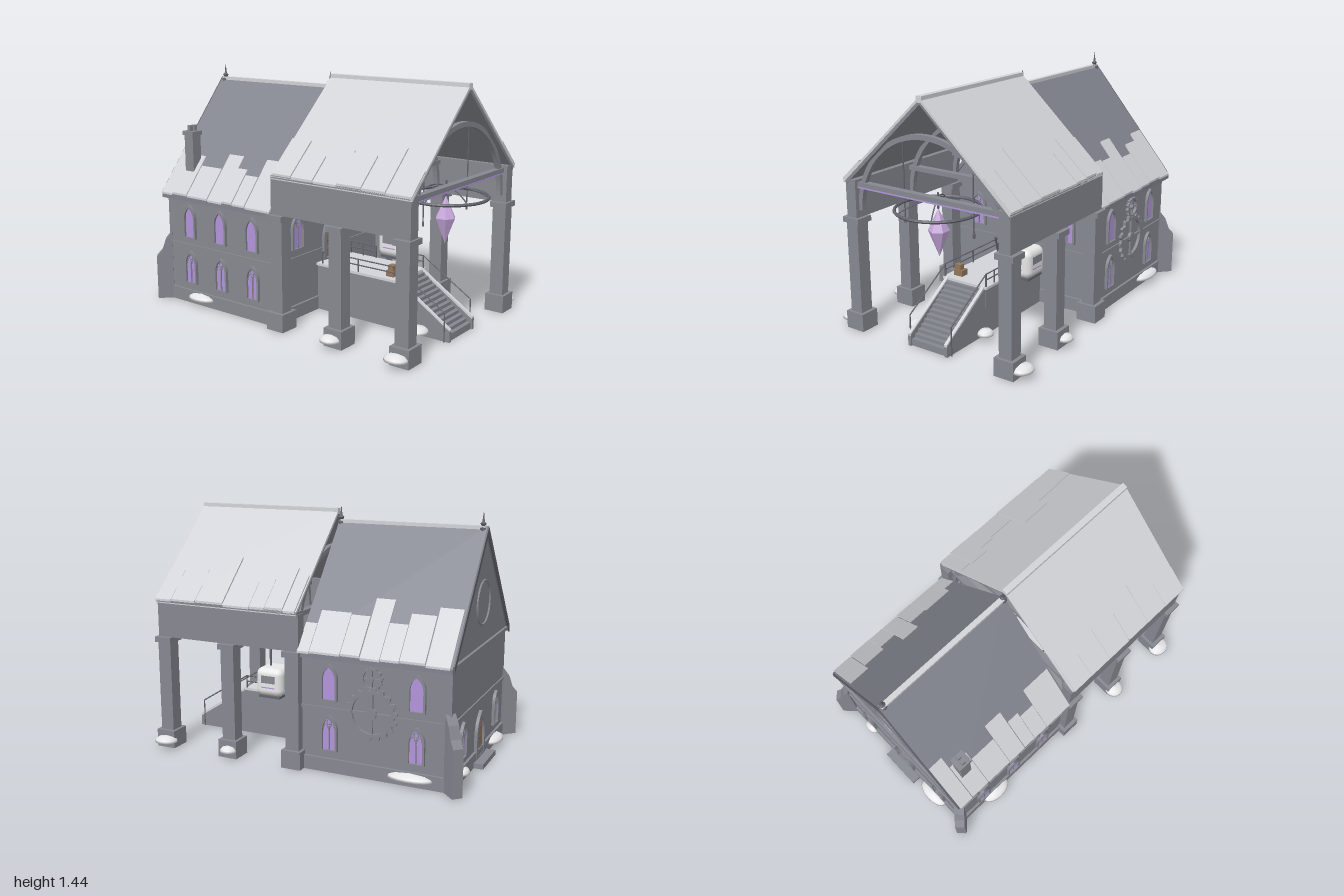
import * as THREE from 'three';
import { RoundedBoxGeometry } from 'three/addons/geometries/RoundedBoxGeometry.js';

export function createModel() {
  const root = new THREE.Group();
  root.name = 'hall';
  const mat = (name, color, flat = true) => {
    const m = new THREE.MeshStandardMaterial({ color, flatShading: flat });
    m.name = name;
    return m;
  };
  const stone = mat('stone', 0x868890), darkRoof = mat('darkRoof', 0x82848f), pale = mat('paleSlate', 0xd2d3d8);
  const metal = mat('darkMetal', 0x62646c), snow = mat('snow', 0xececee, false), white = mat('cabinWhite', 0xececec, false);
  const glass = mat('violetGlass', 0xb294dc), crystal = mat('crystal', 0xc8a8dc), wood = mat('wood', 0x94765a);

  const add = (name, geo, m, x = 0, y = 0, z = 0, parent = root) => {
    const mesh = new THREE.Mesh(geo, m);
    mesh.name = name;
    mesh.position.set(x, y, z);
    parent.add(mesh);
    return mesh;
  };
  // box given by its limits
  const box = (name, m, x0, x1, y0, y1, z0, z1, parent) =>
    add(name, new THREE.BoxGeometry(x1 - x0, y1 - y0, z1 - z0), m, (x0 + x1) / 2, (y0 + y1) / 2, (z0 + z1) / 2, parent);
  const poly = pts => new THREE.Shape(pts.map(p => new THREE.Vector2(...p)));
  const prism = (shape, depth, curveSegments = 8) => new THREE.ExtrudeGeometry(shape, { depth, bevelEnabled: false, curveSegments });
  // rod between two points
  const rod = (name, a, b, r, m = metal, parent = root) => {
    const p = new THREE.Vector3(...a), q = new THREE.Vector3(...b), d = q.clone().sub(p);
    const mesh = add(name, new THREE.CylinderGeometry(r, r, d.length(), 6), m, 0, 0, 0, parent);
    mesh.position.copy(p).add(q).multiplyScalar(0.5);
    mesh.quaternion.setFromUnitVectors(new THREE.Vector3(0, 1, 0), d.normalize());
    return mesh;
  };

  // House walls, plinth and string courses
  const gableY = 1.355, gableSlope = 1.2;
  add('houseWalls', prism(poly([[-0.52, 0], [0.52, 0], [0.52, 0.7], [0, 1.32], [-0.52, 0.7]]), 0.87), stone, 0, 0, -0.92);
  box('plinth', stone, -0.535, 0.535, 0, 0.08, -0.935, -0.035);
  box('middleCourse', stone, -0.528, 0.528, 0.362, 0.375, -0.928, -0.042);
  box('eavesCourse', stone, -0.545, 0.545, 0.67, 0.69, -0.935, -0.035);

  // Roofs: sloped strips that follow the pitch
  const strip = (name, m, x0, x1, z0, z1, ridge, slope, thick, lift) => {
    const y = x => ridge - slope * Math.abs(x) + lift;
    add(name, prism(poly([[x0, y(x0) - thick], [x1, y(x1) - thick], [x1, y(x1)], [x0, y(x0)]]), z1 - z0), m, 0, 0, z0);
  };
  const canopyY = 1.415, canopySlope = 0.925;
  for (const s of [-1, 1]) {
    strip('houseRoof', darkRoof, 0, s * 0.56, -0.93, -0.04, gableY, gableSlope, 0.03, 0);
    strip('houseVerge', metal, 0, s * 0.55, -0.938, -0.93, gableY, gableSlope, 0.045, 0);
    strip('canopyRoof', pale, 0, s * 0.56, -0.035, 0.89, canopyY, canopySlope, 0.018, 0);
    strip('canopyRafters', stone, 0, s * 0.55, -0.03, 0.885, canopyY, canopySlope, 0.022, -0.018);
  }
  // Slate patches along the eaves: [z edge, inner x], running backwards
  const patches = (side, end, rows, ridge, slope) => rows.forEach(([z, x], i) => {
    const z0 = i + 1 < rows.length ? rows[i + 1][0] : end;
    strip('slatePatch', pale, side * x, side * 0.565, z0 + 0.002, z - 0.002, ridge, slope, 0.012, 0.012 + 0.005 * (i % 3));
  });
  patches(1, -0.92, [[-0.04, 0.45], [-0.115, 0.4], [-0.3, 0.41], [-0.415, 0.33], [-0.53, 0.425], [-0.64, 0.385], [-0.785, 0.345]], gableY, gableSlope);
  patches(-1, -0.93, [[-0.05, 0.36], [-0.24, 0.44], [-0.34, 0.42], [-0.42, 0.36], [-0.54, 0.43], [-0.71, 0.39], [-0.835, 0.33]], gableY, gableSlope);
  patches(1, -0.03, [[0.89, 0.4], [0.78, 0.39], [0.615, 0.32], [0.43, 0.43], [0.26, 0.41], [0.16, 0.355], [0.045, 0.375]], canopyY, canopySlope);
  patches(-1, -0.03, [[0.89, 0.44], [0.73, 0.35], [0.58, 0.41], [0.42, 0.39], [0.26, 0.44], [0.11, 0.38]], canopyY, canopySlope);
  box('houseRidge', pale, -0.015, 0.015, 1.33, 1.357, -0.92, -0.05);
  box('canopyRidge', pale, -0.018, 0.018, 1.385, 1.42, -0.035, 0.89);
  const finial = [[0, 0], [0.022, 0], [0.022, 0.02], [0.01, 0.03], [0.018, 0.045], [0.007, 0.055], [0, 0.115]].map(p => new THREE.Vector2(...p));
  for (const z of [-0.05, -0.905]) add('finial', new THREE.LatheGeometry(finial, 8), metal, 0, 1.325, z);

  // Chimney with two pots
  box('chimney', stone, -0.465, -0.4, 0.75, 1.04, -0.815, -0.745);
  box('chimneyCap', stone, -0.473, -0.392, 1.04, 1.065, -0.823, -0.737);
  for (const x of [-0.45, -0.415]) box('chimneyPot', stone, x - 0.011, x + 0.011, 1.065, 1.1, -0.792, -0.768);

  // Canopy piers and side beams
  for (const s of [-1, 1]) {
    for (const z of [0.84, 0.41, -0.005]) {
      const pier = new THREE.Group();
      pier.name = 'pier';
      pier.position.set(s * 0.522, 0, z);
      root.add(pier);
      box('pierBase', stone, -0.062, 0.062, 0, 0.105, -0.06, 0.06, pier);
      box('pierShaft', stone, -0.04, 0.04, 0.105, 0.645, -0.042, 0.042, pier);
      box('pierCap', stone, -0.058, 0.058, 0.645, 0.677, -0.053, 0.053, pier);
    }
    const a = s * 0.52;
    box('sideBeam', stone, a - 0.035, a + 0.035, 0.677, 0.885, -0.045, 0.88);
    box('sideBeamTrim', stone, a - 0.04, a + 0.04, 0.885, 0.9, -0.04, 0.885);
  }
  // Arched trusses and tie beams
  const arch = new THREE.Shape();
  arch.absarc(0, 0, 0.49, 0, Math.PI, false);
  arch.absarc(0, 0, 0.462, Math.PI, 0, true);
  for (const z of [0.84, 0.41, 0]) {
    add('archTruss', prism(arch, 0.03, 24), stone, 0, 0.72, z - 0.015);
    box('tieBeam', stone, -0.49, 0.49, 0.858, 0.885, z - 0.02, z + 0.02);
  }
  box('tieBeamLight', glass, -0.485, 0.485, 0.85, 0.858, 0.825, 0.862);

  // Pointed windows and doors, facing +z in their own group
  const lancet = (w, h, rise, x = 0, y = 0, T = THREE.Shape) => {
    const s = new T();
    s.moveTo(x - w / 2, y);
    s.lineTo(x + w / 2, y);
    s.lineTo(x + w / 2, y + h - rise);
    s.quadraticCurveTo(x + w / 2, y + h - rise * 0.35, x, y + h);
    s.quadraticCurveTo(x - w / 2, y + h - rise * 0.35, x - w / 2, y + h - rise);
    return s;
  };
  const opening = (name, w, h, t, fill, x, y, z, turn, tracery) => {
    const g = new THREE.Group();
    g.name = name;
    g.position.set(x, y, z);
    g.rotation.y = turn;
    root.add(g);
    const frame = lancet(w, h, w * 0.85);
    frame.holes.push(lancet(w - 2 * t, h - 2 * t, w * 0.75, 0, t * 0.5, THREE.Path));
    add('frame', prism(frame, 0.018), stone, 0, 0, 0, g);
    add('panel', prism(lancet(w - t, h - t, w * 0.8), 0.005), fill, 0, 0, 0, g);
    if (tracery) {
      box('mullion', stone, -0.003, 0.003, 0, h * 0.68, 0.003, 0.012, g);
      for (const s of [-1, 1]) {
        const curve = new THREE.QuadraticBezierCurve3(new THREE.Vector3(0, h * 0.55, 0.008),
          new THREE.Vector3(s * w * 0.2, h * 0.95, 0.008), new THREE.Vector3(s * w * 0.38, h * 0.55, 0.008));
        add('lightHead', new THREE.TubeGeometry(curve, 8, 0.003, 5), stone, 0, 0, 0, g);
      }
      add('roundel', new THREE.TorusGeometry(w * 0.14, 0.003, 5, 14), stone, 0, h * 0.8, 0.008, g);
    }
    return g;
  };
  const door = (y, z, turn) => {
    const g = opening('door', 0.17, 0.275, 0.024, wood, 0, y, z, turn, false);
    for (const h of [0.05, 0.11, 0.17]) box('strap', metal, -0.055, 0.045, h, h + 0.007, 0.004, 0.009, g);
  };
  door(0.293, -0.05, 0);
  door(0.03, -0.92, Math.PI);
  for (const s of [-1, 1]) {
    opening('frontWindow', 0.11, 0.215, 0.012, glass, s * 0.325, 0.42, -0.05, 0, true);
    opening('backWindow', 0.1, 0.21, 0.012, glass, s * 0.325, 0.125, -0.92, Math.PI, true);
    for (const z of s > 0 ? [-0.22, -0.73] : [-0.22, -0.475, -0.73]) {
      opening('upperWindow', 0.1, 0.21, 0.012, glass, s * 0.52, 0.415, z, s * Math.PI / 2, false);
      opening('lowerWindow', 0.1, 0.21, 0.012, glass, s * 0.52, 0.125, z, s * Math.PI / 2, true);
    }
  }
  box('backStep', stone, -0.13, 0.13, 0, 0.03, -0.99, -0.92);
  add('gableRing', new THREE.TorusGeometry(0.125, 0.008, 6, 32), stone, 0, 0.93, -0.922);

  // Gears on the left wall
  const gear = (r, teeth, y, z) => {
    const g = new THREE.Group();
    g.name = 'gear';
    g.position.set(0.522, y, z);
    g.rotation.y = Math.PI / 2;
    root.add(g);
    const pts = [];
    for (let i = 0; i < teeth * 4; i++) {
      const a = (i + 0.5) / (teeth * 4) * Math.PI * 2, q = i % 4 < 2 ? r : r * 0.88;
      pts.push([Math.cos(a) * q, Math.sin(a) * q]);
    }
    const rim = poly(pts);
    rim.holes.push(new THREE.Path().absarc(0, 0, r * 0.76, 0, Math.PI * 2, true));
    add('gearRim', prism(rim, 0.018, 16), stone, 0, 0, 0, g);
    for (const a of [0, Math.PI / 2]) add('spoke', new THREE.BoxGeometry(r * 1.6, r * 0.09, 0.012), stone, 0, 0, 0.008, g).rotation.z = a;
    add('hub', new THREE.CylinderGeometry(r * 0.2, r * 0.2, 0.02, 12), stone, 0, 0, 0.01, g).rotation.x = Math.PI / 2;
  };
  gear(0.15, 18, 0.375, -0.475);
  gear(0.065, 12, 0.57, -0.475);

  // Diagonal corner buttresses at the back
  for (const s of [-1, 1]) {
    const b = add('buttress', prism(poly([[0, 0], [0.1, 0], [0.1, 0.27], [0.065, 0.31], [0.04, 0.38], [0, 0.43]]), 0.06), stone, s * 0.51, 0, -0.91);
    b.geometry.translate(0, 0, -0.03);
    b.rotation.y = s > 0 ? Math.PI / 4 : Math.PI * 3 / 4;
  }

  // Platform and stairs
  box('platform', stone, -0.14, 0.14, 0, 0.28, -0.04, 0.53);
  box('deck', pale, -0.155, 0.155, 0.28, 0.295, -0.04, 0.54);
  const steps = 13;
  for (let i = 0; i < steps; i++) {
    const z = 0.53 + 0.34 * i / steps;
    box('step', stone, -0.12, 0.12, 0, 0.28 - 0.24 * i / (steps - 1), z, z + 0.34 / steps);
  }
  const side = poly([[-0.53, 0], [-0.53, 0.29], [-0.88, 0.065], [-0.88, 0]]);
  const cap = poly([[-0.53, 0.285], [-0.53, 0.3], [-0.88, 0.075], [-0.88, 0.06]]);
  for (const s of [-1, 1]) {
    const x = s * 0.128 - 0.01;
    add('stringer', prism(side, 0.02), stone, x, 0, 0).rotation.y = Math.PI / 2;
    add('stringerCap', prism(cap, 0.02), pale, x, 0, 0).rotation.y = Math.PI / 2;
    // railings, with a gap beside the cabin
    const r = s * 0.145;
    for (const [z0, z1] of s > 0 ? [[0.53, 0.37], [0.19, 0]] : [[0.53, 0]]) {
      for (const y of [0.335, 0.37]) rod('rail', [r, y, z0], [r, y, z1], 0.004);
      for (let i = 0; i <= 2; i++) {
        const z = z0 + (z1 - z0) * i / 2;
        rod('railPost', [r, 0.295, z], [r, 0.372, z], 0.005);
      }
    }
    rod('handrail', [r, 0.37, 0.53], [r, 0.17, 0.85], 0.004);
    rod('handrailPost', [r, 0, 0.85], [r, 0.17, 0.85], 0.004);
  }
  // Crates and lever
  box('crate', wood, -0.115, -0.055, 0.295, 0.33, 0.44, 0.49);
  box('smallCrate', wood, -0.11, -0.07, 0.33, 0.362, 0.45, 0.485);
  rod('lever', [-0.105, 0.295, 0.06], [-0.09, 0.42, 0.11], 0.006);

  // Hanging cabin
  add('cabin', new RoundedBoxGeometry(0.175, 0.17, 0.175, 4, 0.04), white, 0.237, 0.4, 0.28);
  box('cabinFloor', metal, 0.165, 0.31, 0.303, 0.316, 0.21, 0.35);
  for (const s of [-1, 1]) {
    add('cabinWindow', new THREE.BoxGeometry(0.075, 0.035, 0.005), stone, 0.237, 0.42, 0.28 + s * 0.087);
    add('cabinStripe', new THREE.BoxGeometry(0.08, 0.006, 0.004), glass, 0.237, 0.37, 0.28 + s * 0.087);
    add('cabinWindow', new THREE.BoxGeometry(0.005, 0.045, 0.09), stone, 0.237 + s * 0.087, 0.42, 0.28);
    add('cabinStripe', new THREE.BoxGeometry(0.004, 0.006, 0.09), glass, 0.237 + s * 0.087, 0.37, 0.28);
  }
  rod('cabinPole', [0.237, 0.48, 0.305], [0.237, 0.64, 0.305], 0.008);
  box('cabinHanger', metal, 0.224, 0.25, 0.635, 0.657, 0.265, 0.345);

  // Ring chandelier with crystal
  const lamp = new THREE.Group();
  lamp.name = 'chandelier';
  lamp.position.set(0, 0.79, 0.755);
  root.add(lamp);
  add('ring', new THREE.TorusGeometry(0.235, 0.009, 6, 36), metal, 0, 0, 0, lamp).rotation.x = Math.PI / 2;
  for (let i = 0; i < 6; i++) {
    const a = i * Math.PI / 3, c = Math.cos(a), n = Math.sin(a);
    const curve = new THREE.QuadraticBezierCurve3(new THREE.Vector3(c * 0.23, 0, n * 0.23),
      new THREE.Vector3(c * 0.12, 0.06, n * 0.12), new THREE.Vector3(0, 0.055, 0));
    add('arm', new THREE.TubeGeometry(curve, 8, 0.004, 5), metal, 0, 0, 0, lamp);
  }
  add('hub', new THREE.CylinderGeometry(0.033, 0.033, 0.016, 10), metal, 0, 0.047, 0, lamp);
  rod('stem', [0, 0, 0], [0, 0.09, 0], 0.006, metal, lamp);
  add('crystalTop', new THREE.ConeGeometry(0.06, 0.125, 6, 1, true), crystal, 0, -0.06, 0, lamp);
  add('crystalPoint', new THREE.CylinderGeometry(0.06, 0, 0.15, 6, 1, true), crystal, 0, -0.1975, 0, lamp);
  for (const s of [-1, 1]) {
    rod('chain', [s * 0.237, -0.1, 0], [s * 0.237, 0.37, 0], 0.004, metal, lamp);
    add('weight', new THREE.CylinderGeometry(0.007, 0.007, 0.025, 6), metal, s * 0.237, -0.11, 0, lamp);
  }

  // Snow mounds: [x, z, half width, half depth]
  const mound = new THREE.LatheGeometry([[0, 0], [1, 0], [0.93, 0.4], [0.65, 0.8], [0, 1]].map(p => new THREE.Vector2(...p)), 16);
  for (const [x, z, w, d] of [[-0.595, 0.83, 0.06, 0.07], [0.595, 0.83, 0.06, 0.07], [-0.59, 0.4, 0.06, 0.06], [0.59, 0.4, 0.045, 0.05],
    [-0.195, 0.71, 0.065, 0.06], [0.19, 0.6, 0.045, 0.05], [0.535, -0.7, 0.055, 0.13], [-0.535, -0.64, 0.055, 0.1],
    [-0.275, -0.94, 0.105, 0.05], [0.33, -0.94, 0.05, 0.03]])
    add('snowMound', mound, snow, x, 0.042, z).scale.set(w, 0.035, d);

  return root;
}
